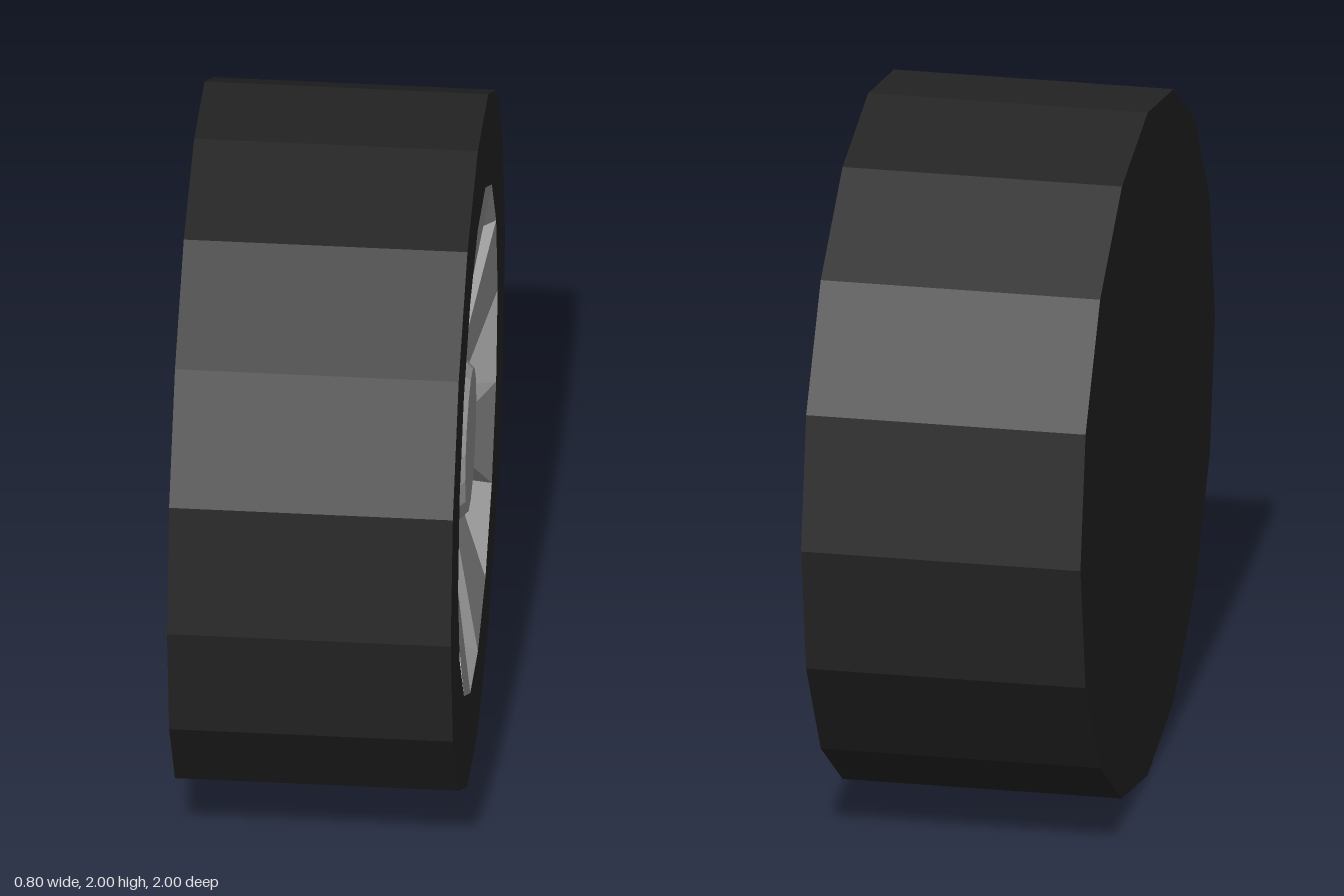
import * as THREE from 'three';

const SIDES = 16;
const STEP = (Math.PI * 2) / SIDES;

// Lathe around the wheel's axle (x); profile points are [radius, x]
function turned(name, profile, material) {
  const points = profile.map(([r, x]) => new THREE.Vector2(r, x));
  const geometry = new THREE.LatheGeometry(points, SIDES);
  geometry.rotateZ(-Math.PI / 2);
  const mesh = new THREE.Mesh(geometry, material);
  mesh.name = name;
  return mesh;
}

// Point on the rim from [radius, x] and the angle from the top
const at = ([r, x], a) => [x, r * Math.cos(a), -r * Math.sin(a)];

function quadMesh(name, quads, material) {
  const positions = [];
  for (const [a, b, c, d] of quads) positions.push(...a, ...b, ...c, ...a, ...c, ...d);
  const geometry = new THREE.BufferGeometry();
  geometry.setAttribute('position', new THREE.Float32BufferAttribute(positions, 3));
  geometry.computeVertexNormals();
  const mesh = new THREE.Mesh(geometry, material);
  mesh.name = name;
  return mesh;
}

// Wedge of surface following a profile between two angles
function wedge(profile, a0, a1) {
  const quads = [];
  for (let i = 0; i < profile.length - 1; i++) {
    const p = profile[i], q = profile[i + 1];
    quads.push([at(p, a0), at(q, a0), at(q, a1), at(p, a1)]);
  }
  return quads;
}

export function createModel() {
  const rubber = new THREE.MeshStandardMaterial({ color: 0x252525, flatShading: true });
  rubber.name = 'black rubber';
  const metal = new THREE.MeshStandardMaterial({ color: 0x979797, flatShading: true });
  metal.name = 'grey metal';

  const wheel = new THREE.Group();
  wheel.name = 'wheel';
  wheel.position.y = 1;

  // Tyre with closed inner side and open outer side
  wheel.add(turned('tyre', [[0, -0.4], [1, -0.4], [1, 0.4], [0.73, 0.4]], rubber));

  // Hub cap with a bevelled edge
  wheel.add(turned('hubCap', [[0.255, 0.33], [0.205, 0.38], [0, 0.38]], metal));

  // Rim: raised spokes alternating with recessed pockets
  const rimEdge = [0.73, 0.4], hubEdge = [0.255, 0.33];
  const floorOuter = [0.65, 0.27], floorInner = [0.255, 0.26];
  const wall = [rimEdge, hubEdge, floorInner, floorOuter];
  const spokes = [], pockets = [];
  for (let k = 0; k < SIDES; k += 2) {
    const a0 = k * STEP, a1 = a0 + STEP, a2 = a1 + STEP;
    pockets.push(
      ...wedge([rimEdge, floorOuter, floorInner, hubEdge], a0, a1),
      wall.map((p) => at(p, a0)),
      wall.map((p) => at(p, a1)).reverse(),
    );
    spokes.push(...wedge([rimEdge, hubEdge], a1, a2));
  }
  wheel.add(quadMesh('spokes', spokes, metal));
  wheel.add(quadMesh('rimPockets', pockets, metal));

  const model = new THREE.Group();
  model.name = 'wheelModel';
  model.add(wheel);
  return model;
}
